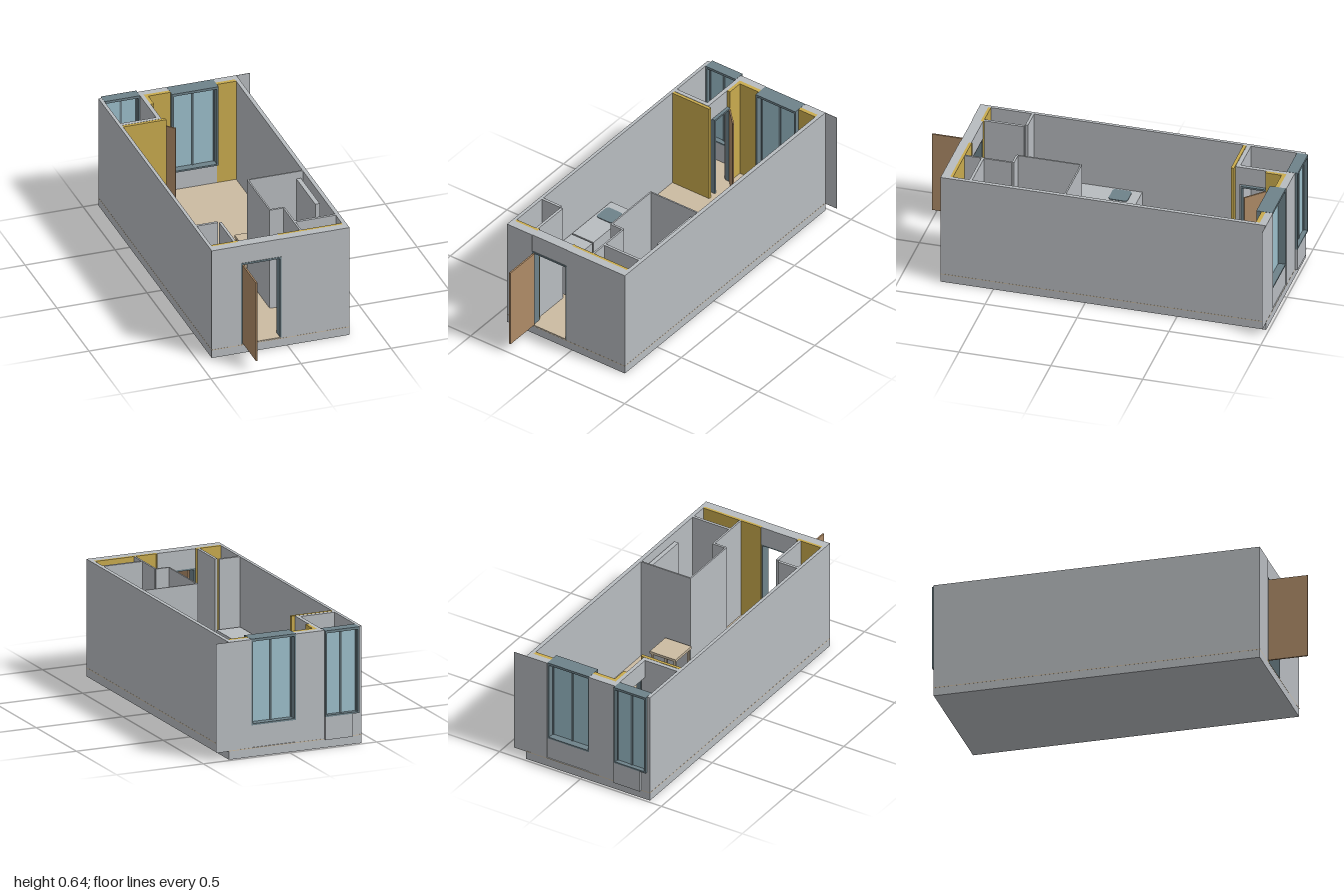
import * as THREE from 'three';

const material = (name, color) => {
  const m = new THREE.MeshStandardMaterial({ color });
  m.name = name;
  return m;
};

export function createModel() {
  const model = new THREE.Group();
  model.name = 'openApartment';
  const grey = material('wall grey', 0xb8bcc0);
  const tan = material('floor tan', 0xcbbba2);
  const yellow = material('lining yellow', 0xc9ab4e);
  const brown = material('door brown', 0xae8b67);
  const slate = material('frame slate', 0x6e828a);
  const glass = material('glass blue', 0x9cbfcb);

  const H = 0.638;   // wall top
  const F = 0.054;   // floor level

  const add = (name, geometry, mat, x, y, z, parent = model) => {
    const mesh = new THREE.Mesh(geometry, mat);
    mesh.name = name;
    mesh.position.set(x, y, z);
    parent.add(mesh);
    return mesh;
  };
  // Box given by its limits on each axis
  const box = (name, mat, [x0, x1], [y0, y1], [z0, z1], parent) =>
    add(name, new THREE.BoxGeometry(x1 - x0, y1 - y0, z1 - z0), mat,
      (x0 + x1) / 2, (y0 + y1) / 2, (z0 + z1) / 2, parent);
  const wall = (name, x, z, mat = grey, y = [F, H]) => box(name, mat, x, y, z);

  // Base, floors and the thin floor edge showing outside
  box('baseSlab', grey, [-0.42, 0.345], [0, 0.05], [-0.985, 0.787]);
  box('floor', tan, [-0.402, 0.323], [0.05, F], [-0.945, 0.735]);
  box('entranceFloor', tan, [-0.257, -0.033], [0.05, F], [0.735, 0.786]);
  box('floorEdge', tan, [-0.4206, 0.3456], [0.045, 0.049], [-0.9856, 0.7876]);

  // Long side walls
  wall('rightWall', [-0.42, -0.402], [-0.985, 0.787], grey, [0.05, H]);
  wall('leftWall', [0.323, 0.345], [-0.985, 0.787], grey, [0.05, H]);

  // Front wall with the entrance
  wall('frontWallRight', [-0.402, -0.257], [0.74, 0.787], grey, [0.05, H]);
  wall('frontWallLeft', [-0.033, 0.323], [0.74, 0.787], grey, [0.05, H]);
  wall('frontLintel', [-0.257, -0.033], [0.727, 0.785], grey, [0.533, H]);
  wall('frontLiningRight', [-0.402, -0.265], [0.725, 0.74], yellow);
  wall('frontLiningLeft', [-0.027, 0.323], [0.725, 0.74], yellow);
  for (const [x0, x1] of [[-0.265, -0.257], [-0.033, -0.027]])
    wall('entranceLining', [x0, x1], [0.72, 0.74], yellow);
  for (const [x0, x1] of [[-0.257, -0.25], [-0.04, -0.033]])
    wall('entranceJamb', [x0, x1], [0.73, 0.788], slate, [F, 0.533]);
  wall('entranceHead', [-0.25, -0.04], [0.73, 0.788], slate, [0.523, 0.533]);
  box('entranceDoor', brown, [-0.25, -0.241], [0.06, 0.524], [0.788, 1]);

  // Back wall piers, sills and the thin projecting fin
  wall('backPierMiddle', [-0.205, -0.043], [-0.985, -0.945], grey, [0.05, H]);
  wall('backPierLeft', [0.215, 0.323], [-0.985, -0.945], grey, [0.05, H]);
  wall('backSill', [-0.043, 0.215], [-0.98, -0.923], grey, [0.05, 0.17]);
  wall('balconySill', [-0.402, -0.205], [-0.985, -0.945], grey, [0.05, 0.17]);
  wall('balconyApron', [-0.365, -0.205], [-0.999, -0.985], grey, [0.045, 0.17]);
  wall('backLiningMiddle', [-0.183, -0.043], [-0.945, -0.923], yellow);
  wall('backLiningLeft', [0.215, 0.323], [-0.945, -0.923], yellow);
  wall('backFin', [0.345, 0.42], [-0.985, -0.983], grey, [0.045, H]);

  // Window: deep surround, central mullion and two panes
  const makeWindow = (name, x0, x1, z0, z1, zGlass) => {
    const g = new THREE.Group();
    g.name = name;
    model.add(g);
    const y0 = 0.17, y1 = H + 0.001, t = 0.009, mid = (x0 + x1) / 2;
    box('jamb', slate, [x0, x0 + t], [y0, y1], [z0, z1], g);
    box('jamb', slate, [x1 - t, x1], [y0, y1], [z0, z1], g);
    box('head', slate, [x0 + t, x1 - t], [y1 - 0.014, y1], [z0, z1], g);
    box('sill', slate, [x0 + t, x1 - t], [y0, y0 + t], [z0, z1], g);
    for (const [a, b] of [[x0 + t, mid], [mid, x1 - t]]) {
      box('pane', glass, [a, b], [y0 + t, y1 - 0.014], [zGlass - 0.003, zGlass + 0.003], g);
      for (const [c, d] of [[a, a + 0.006], [b - 0.006, b]])
        box('sash', slate, [c, d], [y0 + t, y1 - 0.014], [zGlass - 0.008, zGlass + 0.008], g);
    }
  };
  makeWindow('backWindow', -0.043, 0.215, -0.982, -0.895, -0.94);
  makeWindow('balconyWindow', -0.402, -0.205, -1, -0.94, -0.972);

  // Balcony room with its open inner door
  wall('balconyFrontWall', [-0.402, -0.183], [-0.69, -0.667]);
  wall('balconyFrontLining', [-0.402, -0.163], [-0.665, -0.648], yellow);
  wall('balconySideWall', [-0.205, -0.183], [-0.945, -0.84]);
  wall('balconySideLining', [-0.183, -0.165], [-0.923, -0.835], yellow);
  wall('balconyLintel', [-0.205, -0.183], [-0.84, -0.69], grey, [0.533, H]);
  for (const [z0, z1] of [[-0.84, -0.831], [-0.709, -0.7]])
    wall('balconyDoorJamb', [-0.19, -0.165], [z0, z1], slate, [F, 0.533]);
  wall('balconyDoorHead', [-0.19, -0.165], [-0.84, -0.7], slate, [0.523, 0.533]);
  const door = add('balconyDoor', new THREE.BoxGeometry(0.128, 0.466, 0.008), brown,
    -0.122, 0.29, -0.79);
  door.rotation.y = -Math.PI / 4;

  // Service shaft beside the entrance
  wall('shaftBackWall', [-0.402, -0.285], [0.49, 0.505]);
  wall('shaftSideWall', [-0.28, -0.265], [0.505, 0.725]);

  // Stepped bathroom walls, raised floor and closet
  wall('bathroomFloor', [0.015, 0.323], [0.11, 0.465], grey, [F, 0.06]);
  wall('bathroomFloorFront', [0.09, 0.323], [0.465, 0.62], grey, [F, 0.06]);
  wall('bathroomBackWall', [0.015, 0.323], [0.11, 0.118]);
  wall('bathroomSideWall', [0.015, 0.023], [0.118, 0.465]);
  wall('bathroomStepWall', [0.023, 0.098], [0.457, 0.469]);
  wall('bathroomInnerWall', [0.09, 0.1], [0.469, 0.725]);
  wall('bathroomFrontWall', [0.1, 0.323], [0.62, 0.635]);
  wall('pipePartition', [0.285, 0.31], [0.125, 0.42], grey, [F, 0.6]);

  // Toilet
  const bowl = add('toiletBowl', new THREE.CylinderGeometry(1, 0.65, 0.1, 24), grey, 0.212, 0.11, 0.195);
  bowl.scale.set(0.062, 1, 0.04);
  const seat = add('toiletSeat', new THREE.TorusGeometry(0.03, 0.006, 6, 24), grey, 0.21, 0.16, 0.195);
  seat.rotation.x = Math.PI / 2;
  seat.scale.set(1.55, 0.95, 1);

  // Washbasin
  box('basinBlock', grey, [0.185, 0.285], [0.21, 0.255], [0.29, 0.4]);
  const basin = add('basinRim', new THREE.TorusGeometry(0.03, 0.004, 6, 24), grey, 0.22, 0.256, 0.345);
  basin.rotation.x = Math.PI / 2;
  basin.scale.y = 1.4;

  // Kitchen counter with rounded sink
  wall('kitchenCounter', [-0.397, -0.26], [-0.1, 0.242], grey, [F, 0.26]);
  wall('kitchenCabinet', [-0.397, -0.26], [0.25, 0.475], grey, [F, 0.26]);
  const s = new THREE.Shape();
  const w = 0.052, r = 0.018;
  [[w - r, w - r, 0], [-w + r, w - r, 1], [-w + r, -w + r, 2], [w - r, -w + r, 3]].forEach(([x, y, q]) =>
    s.absarc(x, y, r, q * Math.PI / 2, (q + 1) * Math.PI / 2));
  const sink = add('sink', new THREE.ExtrudeGeometry(s, { depth: 0.004, bevelEnabled: false }), slate,
    -0.332, 0.26, 0.002);
  sink.rotation.x = -Math.PI / 2;

  // Small table against the bathroom
  wall('tableTop', [0.005, 0.165], [-0.055, 0.1], tan, [0.21, 0.225]);
  for (const x of [0.01, 0.148])
    for (const z of [-0.05, 0.083])
      wall('tableLeg', [x, x + 0.012], [z, z + 0.012], tan, [F, 0.21]);

  return model;
}
